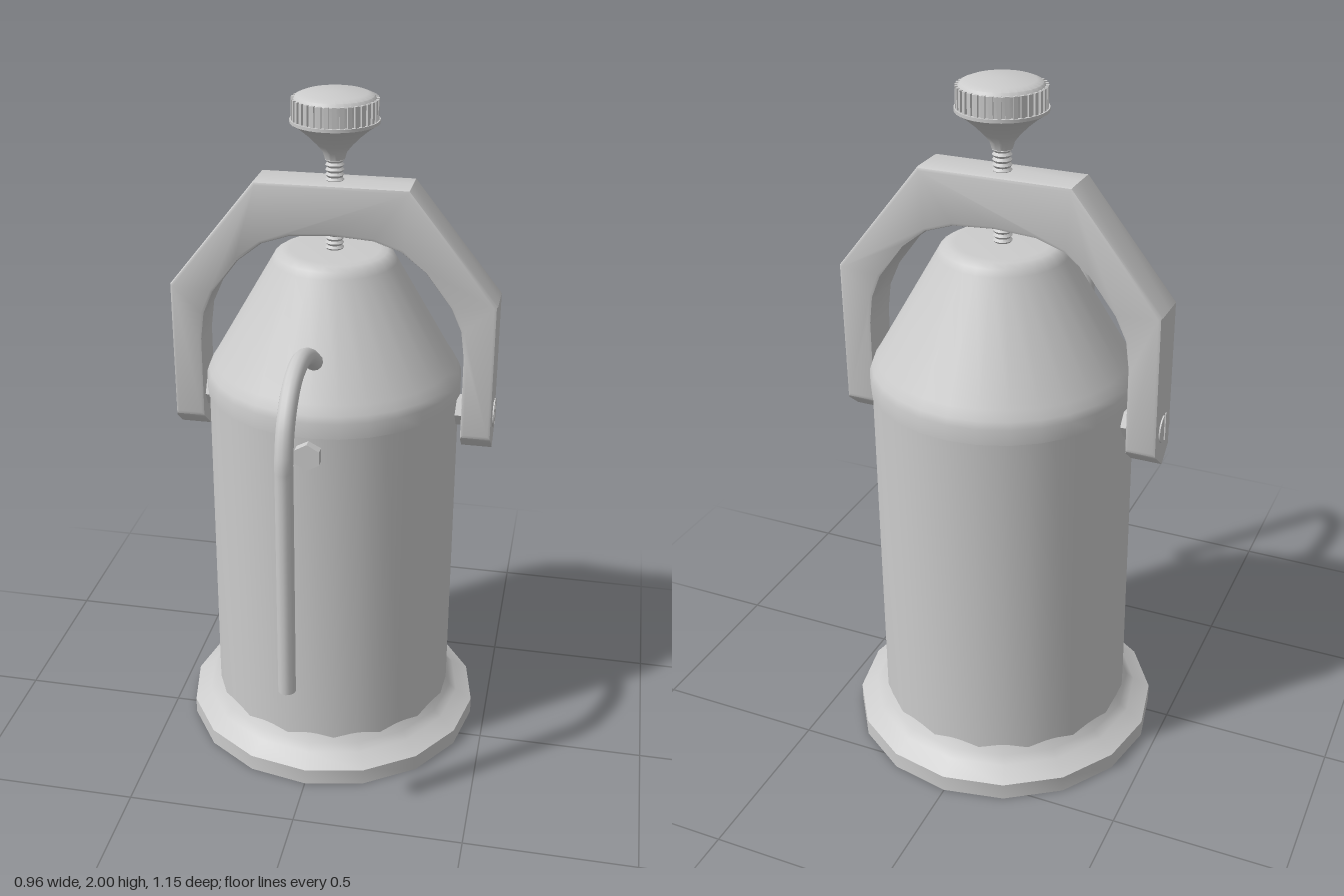
import * as THREE from 'three';
import { toCreasedNormals } from 'three/addons/utils/BufferGeometryUtils.js';

const material = new THREE.MeshStandardMaterial({ color: 0xcccccc });

export function createModel() {
  const model = new THREE.Group();
  model.name = 'pressureCanister';
  // everything except the spout and stud is arranged round the vessel axis
  const vessel = new THREE.Group();
  vessel.name = 'vessel';
  vessel.position.z = -0.12;
  model.add(vessel);

  const add = (name, geometry, parent = vessel) => {
    const mesh = new THREE.Mesh(geometry, material);
    mesh.name = name;
    parent.add(mesh);
    return mesh;
  };
  const lathe = (name, points, sides, crease = 0.6) => add(name, toCreasedNormals(
    new THREE.LatheGeometry(points.map(([r, y]) => new THREE.Vector2(r, y)), sides), crease));

  // flared foot, body and conical lid
  lathe('foot', [[0, 0], [0.455, 0], [0.455, 0.05], [0.405, 0.08], [0.383, 0.1], [0.372, 0.125], [0.36, 0.14]], 16);
  lathe('body', [[0.37, 0.06], [0.37, 1.14]], 32);
  lathe('lid', [[0.36, 1.135], [0.375, 1.135], [0.375, 1.18], [0.368, 1.2], [0.352, 1.225],
    [0.18, 1.525], [0.17, 1.543], [0.152, 1.554], [0.13, 1.556], [0, 1.556]], 28);

  // arched clamp: half outline mirrored, pointed at the lower ends
  const half = [[0.475, 1.02], [0.475, 1.435], [0.22, 1.755]];
  const innerHalf = [[0, 1.61], [0.12, 1.602], [0.2, 1.575], [0.27, 1.52], [0.345, 1.42], [0.375, 1.35], [0.385, 1.27], [0.385, 1.02]];
  const mirror = (points) => points.map(([x, y]) => [-x, y]).reverse();
  const outline = [...half, ...mirror(half), ...mirror(innerHalf), ...innerHalf.slice(1)];
  const bevel = 0.01;
  const arch = new THREE.ExtrudeGeometry(new THREE.Shape(outline.map(([x, y]) => new THREE.Vector2(x, y))), {
    depth: 0.11, steps: 2, bevelThickness: bevel, bevelSize: bevel, bevelOffset: -bevel, bevelSegments: 2,
  });
  arch.translate(0, 0, -0.055);
  const pos = arch.attributes.position;
  for (let i = 0; i < pos.count; i++) {
    const y = pos.getY(i), z = pos.getZ(i);
    if (y < 1.1) pos.setY(i, y - 0.05 * (1 - Math.abs(z) / 0.065));
    if (y < 1.4) pos.setZ(i, z * 0.92);
  }
  add('clampArch', toCreasedNormals(arch, 0.5));

  // pivots: slotted screw heads outside, hexagonal bosses inside
  const headHalf = new THREE.Shape();
  headHalf.absarc(0, 0, 0.042, -1.42, 1.42, false);
  headHalf.closePath();
  for (const side of [1, -1]) {
    const pivot = new THREE.Group();
    pivot.name = side > 0 ? 'leftPivot' : 'rightPivot';
    pivot.position.y = 1.085;
    pivot.rotation.y = side > 0 ? 0 : Math.PI;
    vessel.add(pivot);
    for (const turn of [0, Math.PI]) {
      const head = new THREE.ExtrudeGeometry(headHalf, { depth: 0.012, bevelEnabled: false, curveSegments: 10 });
      head.rotateZ(turn).rotateY(Math.PI / 2).translate(0.467, 0, 0);
      add('screwHeadHalf', head, pivot);
    }
    const boss = new THREE.CylinderGeometry(0.045, 0.045, 0.04, 6).toNonIndexed();
    boss.computeVertexNormals();
    add('boss', boss.rotateZ(Math.PI / 2).translate(0.372, 0, 0), pivot);
  }

  // threaded screw
  const thread = [[0, 1.54]];
  for (let y = 1.54; y < 1.86; y += 0.014) thread.push([0.021, y], [0.027, y + 0.007]);
  lathe('threadedScrew', thread, 14);

  // flared knob with a knurled rim
  lathe('knob', [[0, 1.815], [0.028, 1.815], [0.034, 1.835], [0.05, 1.855], [0.075, 1.88], [0.105, 1.905],
    [0.125, 1.917], [0.125, 1.926], [0.115, 1.926], [0.115, 1.98], [0.108, 1.99], [0.09, 1.997], [0, 2]], 32);
  for (let i = 0; i < 36; i++) {
    const rib = new THREE.BoxGeometry(0.011, 0.058, 0.012);
    rib.translate(0, 1.954, 0.115).rotateY((i / 36) * Math.PI * 2);
    add('knobRib', rib);
  }

  // hexagonal stud at the front
  const stud = new THREE.CylinderGeometry(0.04, 0.04, 0.05, 6).toNonIndexed();
  stud.computeVertexNormals();
  add('frontStud', stud.rotateY(Math.PI / 6).rotateX(Math.PI / 2).rotateZ(Math.PI / 6).translate(0, 1.085, 0.25), model);

  // bent spout
  const path = new THREE.CurvePath();
  const v = (z, y) => new THREE.Vector3(0, y, z);
  path.add(new THREE.CatmullRomCurve3([v(0.12, 1.29), v(0.18, 1.335), v(0.27, 1.385), v(0.36, 1.403),
    v(0.45, 1.38), v(0.52, 1.31), v(0.549, 1.22), v(0.55, 1.16)]));
  path.add(new THREE.LineCurve3(v(0.55, 1.16), v(0.55, 0.505)));
  add('spout', new THREE.TubeGeometry(path, 60, 0.025, 12), model);
  add('spoutEnd', new THREE.CircleGeometry(0.025, 12).rotateX(Math.PI / 2).translate(0, 0.505, 0.55), model);

  return model;
}
